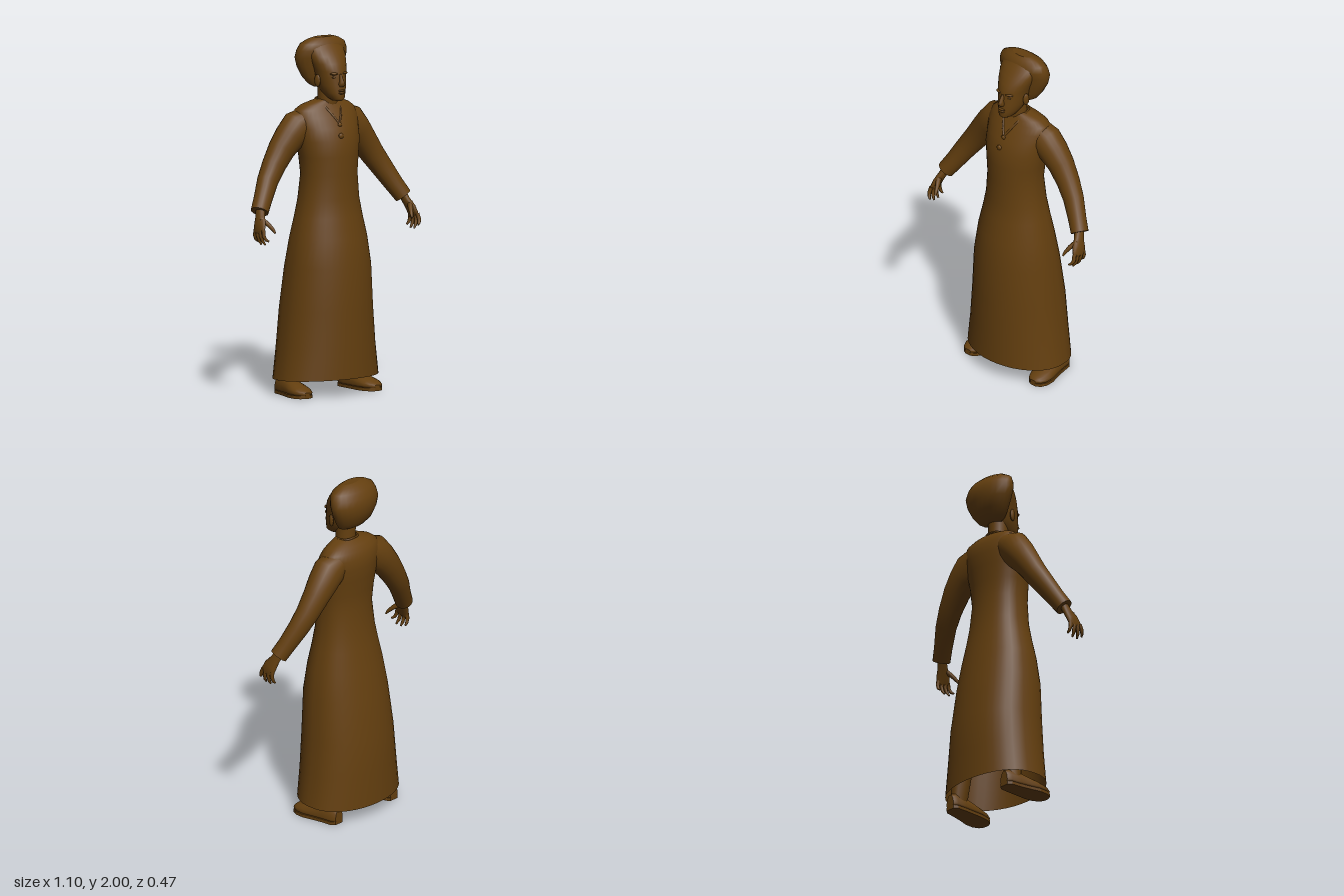
import * as THREE from 'three';

const brown = new THREE.MeshStandardMaterial({ color: 0x643f0f, side: THREE.DoubleSide });
brown.name = 'brown cloth';

// Skin a list of equal-length rings of Vector3, with optional end caps
function loft(rings, capStart = true, capEnd = true) {
  const n = rings[0].length, pos = [], idx = [];
  rings.forEach(r => r.forEach(p => pos.push(p.x, p.y, p.z)));
  for (let i = 0; i < rings.length - 1; i++) {
    for (let j = 0; j < n; j++) {
      const a = i * n + j, b = i * n + (j + 1) % n;
      idx.push(a, b, b + n, a, b + n, a + n);
    }
  }
  const cap = (ring, flip) => {
    const base = pos.length / 3, c = new THREE.Vector3();
    ring.forEach(p => { pos.push(p.x, p.y, p.z); c.add(p); });
    c.divideScalar(n);
    pos.push(c.x, c.y, c.z);
    for (let j = 0; j < n; j++) {
      const a = base + j, b = base + (j + 1) % n;
      if (flip) idx.push(b, a, base + n); else idx.push(a, b, base + n);
    }
  };
  if (capStart) cap(rings[0], true);
  if (capEnd) cap(rings[rings.length - 1], false);
  const g = new THREE.BufferGeometry();
  g.setAttribute('position', new THREE.Float32BufferAttribute(pos, 3));
  g.setIndex(idx);
  g.computeVertexNormals();
  return g;
}

// Level ring: height, half width, front z, back z; a lower backPow gives a flatter back
function levelRing([y, w, f, b], n, backPow = 1, tilt = 0) {
  const c = (f + b) / 2, d = (f - b) / 2, pts = [];
  for (let j = 0; j < n; j++) {
    const a = j / n * Math.PI * 2, k = Math.cos(a);
    const z = k < 0 ? -Math.pow(-k, backPow) : k;
    pts.push(new THREE.Vector3(w * Math.sin(a), y + tilt * k, c + d * z));
  }
  return pts;
}

// Limb along a path of [x, y, z, radius in front plane, radius in depth]
function limb(sections, n = 12, side = 1) {
  const centres = sections.map(s => new THREE.Vector3(s[0] * side, s[1], s[2]));
  return loft(sections.map((s, i) => {
    const t = centres[Math.min(i + 1, centres.length - 1)].clone()
      .sub(centres[Math.max(i - 1, 0)]).normalize();
    const v = new THREE.Vector3(0, 0, 1);
    v.addScaledVector(t, -v.dot(t)).normalize();
    const u = v.clone().cross(t);
    return Array.from({ length: n }, (_, j) => {
      const a = j / n * Math.PI * 2;
      return centres[i].clone().addScaledVector(u, s[3] * Math.cos(a))
        .addScaledVector(v, s[4] * Math.sin(a));
    });
  }));
}

// Stack of level rings
const stack = (rows, n, backPow = 1) => loft(rows.map(r => levelRing(r, n, backPow)));

export function createModel() {
  const model = new THREE.Group();
  model.name = 'robedFigure';
  const add = (name, geometry, parent = model) => {
    const m = new THREE.Mesh(geometry, brown);
    m.name = name;
    parent.add(m);
    return m;
  };
  const blob = (name, x, y, z, sx, sy, sz, parent) => {
    const m = add(name, new THREE.SphereGeometry(1, 12, 8), parent);
    m.position.set(x, y, z);
    m.scale.set(sx, sy, sz);
    return m;
  };
  const tube = (name, pts, r, parent, closed = false) => add(name, new THREE.TubeGeometry(
    new THREE.CatmullRomCurve3(pts.map(p => new THREE.Vector3(...p)), closed), 24, r, 6, closed), parent);

  // Long robe, open at the hem
  const robe = [
    [0.09, 0.315, 0.235, -0.235], [0.28, 0.290, 0.234, -0.232], [0.48, 0.272, 0.232, -0.224],
    [0.72, 0.252, 0.228, -0.190], [0.88, 0.228, 0.205, -0.160], [1.00, 0.200, 0.182, -0.138],
    [1.10, 0.180, 0.167, -0.122], [1.24, 0.166, 0.165, -0.110], [1.34, 0.176, 0.165, -0.117],
    [1.43, 0.190, 0.160, -0.127], [1.50, 0.196, 0.134, -0.134], [1.56, 0.202, 0.104, -0.130],
    [1.60, 0.190, 0.078, -0.112], [1.625, 0.155, 0.064, -0.090], [1.645, 0.100, 0.055, -0.060],
    [1.655, 0.062, 0.052, -0.046],
  ];
  add('robe', loft(robe.map((r, i) => levelRing(r, 40, 0.78, i ? 0 : 0.01)), false, true));

  // Collar, neckline trim and button
  tube('collar', [[0.064, 1.65, 0.01], [0.045, 1.655, -0.04], [0, 1.657, -0.052],
    [-0.045, 1.655, -0.04], [-0.064, 1.65, 0.01]], 0.006);
  for (const s of [1, -1]) {
    tube('necklineTrim', [[s * 0.064, 1.65, 0.01], [s * 0.055, 1.62, 0.055],
      [s * 0.03, 1.575, 0.094], [0, 1.525, 0.122]], 0.006);
  }
  blob('neckButton', 0, 1.52, 0.126, 0.014, 0.012, 0.008);
  blob('chestButton', -0.01, 1.46, 0.15, 0.016, 0.016, 0.01);

  // Head and neck
  const head = new THREE.Group();
  head.name = 'head';
  model.add(head);
  add('neck', stack([[1.6, 0.062, 0.06, -0.05], [1.66, 0.056, 0.068, -0.046],
    [1.75, 0.056, 0.07, -0.05]], 20), head);
  add('face', stack([
    [1.655, 0.024, 0.135, 0.06], [1.668, 0.042, 0.147, 0.03], [1.70, 0.060, 0.144, -0.02],
    [1.74, 0.075, 0.141, -0.05], [1.785, 0.083, 0.134, -0.07], [1.82, 0.090, 0.131, -0.08],
    [1.86, 0.103, 0.114, -0.09], [1.90, 0.114, 0.088, -0.09], [1.94, 0.115, 0.054, -0.09],
    [1.968, 0.090, 0.028, -0.08],
  ], 28), head);
  add('hair', stack([
    [1.722, 0.066, -0.004, -0.052], [1.74, 0.096, 0.008, -0.085], [1.78, 0.125, 0.020, -0.122],
    [1.84, 0.155, 0.026, -0.142], [1.89, 0.168, 0.032, -0.146], [1.93, 0.162, 0.040, -0.136],
    [1.965, 0.146, 0.032, -0.114], [1.988, 0.105, 0.012, -0.086], [2.0, 0.065, -0.004, -0.06],
  ], 24), head);
  add('nose', stack([[1.735, 0.014, 0.150, 0.12], [1.75, 0.019, 0.167, 0.12],
    [1.765, 0.012, 0.160, 0.12], [1.805, 0.008, 0.138, 0.11]], 10), head);
  blob('upperLip', 0, 1.713, 0.143, 0.025, 0.006, 0.01, head);
  blob('lowerLip', 0, 1.700, 0.142, 0.021, 0.007, 0.01, head);
  for (const s of [1, -1]) {
    blob('eye', s * 0.034, 1.788, 0.116, 0.013, 0.007, 0.010, head);
    blob('brow', s * 0.036, 1.808, 0.119, 0.024, 0.008, 0.013, head).rotation.y = s * 0.35;
    blob('ear', s * 0.089, 1.765, 0.035, 0.011, 0.036, 0.02, head).rotation.y = -s * 0.3;
  }

  for (const s of [1, -1]) {
    const side = s > 0 ? 'left' : 'right';

    // Sleeve with cuff
    const arm = new THREE.Group();
    arm.name = side + 'Arm';
    model.add(arm);
    add('sleeve', limb([
      [0.10, 1.555, -0.03, 0.065, 0.075], [0.175, 1.505, -0.032, 0.100, 0.086],
      [0.23, 1.45, -0.036, 0.090, 0.082], [0.285, 1.385, -0.038, 0.079, 0.072],
      [0.345, 1.30, -0.030, 0.069, 0.063], [0.40, 1.22, -0.012, 0.062, 0.056],
      [0.455, 1.13, 0.020, 0.054, 0.050], [0.497, 1.065, 0.045, 0.050, 0.050],
    ], 20, s), arm);

    // Hand with fingers and thumb
    const hand = new THREE.Group();
    hand.name = side + 'Hand';
    arm.add(hand);
    add('palm', limb([
      [0.488, 1.09, 0.04, 0.024, 0.028], [0.506, 1.04, 0.062, 0.021, 0.032],
      [0.523, 1.00, 0.082, 0.019, 0.045], [0.533, 0.965, 0.094, 0.014, 0.047],
      [0.534, 0.95, 0.098, 0.008, 0.040],
    ], 14, s), hand);
    for (let i = 0; i < 4; i++) {
      const z = 0.058 + i * 0.024, tip = 0.052 + i * 0.036;
      const y = [0.902, 0.888, 0.889, 0.912][i];
      add('finger', limb([
        [0.533, 0.972, z, 0.011, 0.012], [0.538, 0.94, (z * 2 + tip) / 3, 0.011, 0.011],
        [0.530, (y + 0.93) / 2, (z + tip * 2) / 3, 0.009, 0.009], [0.516, y, tip, 0.005, 0.005],
      ], 8, s), hand);
    }
    add('thumb', limb([
      [0.515, 1.03, 0.085, 0.016, 0.018], [0.492, 1.00, 0.122, 0.013, 0.014],
      [0.480, 0.975, 0.148, 0.010, 0.010], [0.474, 0.955, 0.162, 0.005, 0.005],
    ], 8, s), hand);

    // Lower leg, shoe and sole
    const leg = new THREE.Group();
    leg.name = side + 'Leg';
    model.add(leg);
    add('shin', limb([[0.16, 0.5, -0.06, 0.055, 0.06], [0.19, 0.3, -0.075, 0.052, 0.06],
      [0.22, 0.06, -0.085, 0.045, 0.05]], 14, s), leg);
    const shoe = [
      [-0.153, 0.218, 0.028, 0.09], [-0.13, 0.219, 0.046, 0.105], [-0.07, 0.222, 0.052, 0.108],
      [-0.01, 0.229, 0.058, 0.094], [0.05, 0.237, 0.066, 0.077], [0.10, 0.241, 0.062, 0.062],
      [0.135, 0.242, 0.044, 0.048], [0.15, 0.242, 0.018, 0.034],
    ];
    add('shoe', loft(shoe.map(([z, x, w, h]) => Array.from({ length: 16 }, (_, j) => {
      const a = j / 16 * Math.PI * 2, k = Math.sin(a);
      const y = k < 0 ? 0.03 + 0.024 * k : 0.03 + (h - 0.03) * k;
      return new THREE.Vector3(s * x + w * Math.cos(a), y, z);
    }))), leg);
    const outline = new THREE.Shape([...shoe.map(([z, x, w]) => new THREE.Vector2(s * x + w, -z)),
      ...shoe.slice().reverse().map(([z, x, w]) => new THREE.Vector2(s * x - w, -z))]);
    add('sole', new THREE.ExtrudeGeometry(outline, { depth: 0.018, bevelEnabled: false })
      .rotateX(-Math.PI / 2), leg);
  }
  return model;
}
